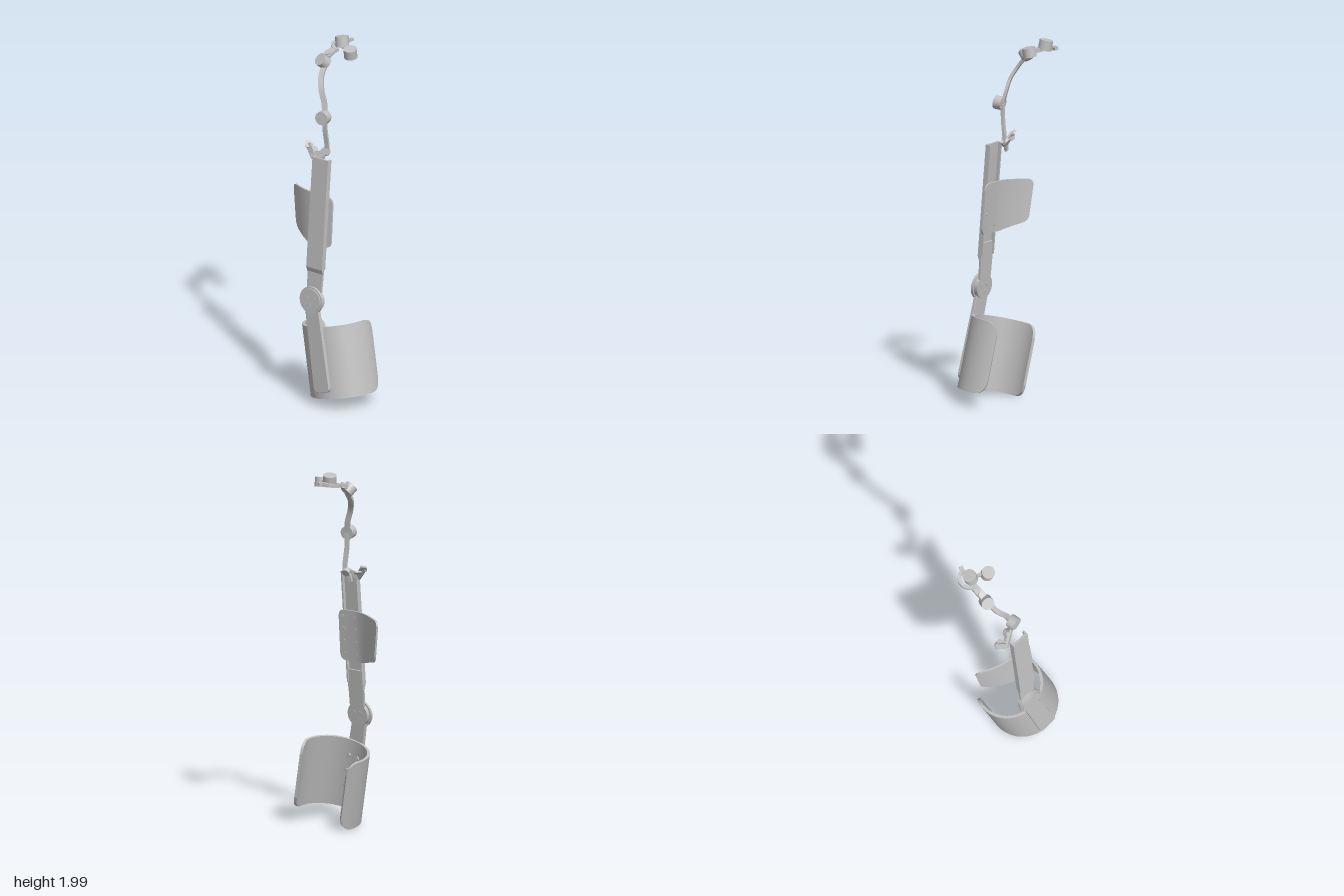
import * as THREE from 'three';

const V = (x, y, z) => new THREE.Vector3(x, y, z);
const grey = new THREE.MeshStandardMaterial({ color: 0xc0c0c0 });
grey.name = 'satinGrey';

function add(parent, name, geometry) {
  const mesh = new THREE.Mesh(geometry, grey);
  mesh.name = name;
  parent.add(mesh);
  return mesh;
}

// cylinder centred on a point, pointing along an axis
function disc(parent, name, centre, axis, radius, height, sides = 32) {
  const m = add(parent, name, new THREE.CylinderGeometry(radius, radius, height, sides));
  m.position.copy(centre);
  m.quaternion.setFromUnitVectors(V(0, 1, 0), axis.clone().normalize());
  return m;
}

// moves every vertex by a rule
function warp(geometry, rule) {
  const p = geometry.attributes.position;
  for (let i = 0; i < p.count; i++) {
    const q = rule(p.getX(i), p.getY(i), p.getZ(i));
    p.setXYZ(i, q.x, q.y, q.z);
  }
  geometry.computeVertexNormals();
  return geometry;
}

// height factor that rounds the corners of a panel
function cornerFactor(x, width, half, r) {
  const d = Math.min(r, Math.max(0, width / 2 - Math.abs(x)));
  return (half - r + Math.sqrt(r * r - (r - d) ** 2)) / half;
}

// rectangular bar following a curve; side gives the direction of its width
function strap(parent, name, points, width, thick, side) {
  const curve = new THREE.CatmullRomCurve3(points);
  const n = points.length > 2 ? 24 : 1;
  const g = warp(new THREE.BoxGeometry(width, 1, thick, 1, n, 1), (x, y, z) => {
    const t = THREE.MathUtils.clamp(y + 0.5, 0, 1);
    const tan = curve.getTangentAt(t);
    const s = side.clone().addScaledVector(tan, -side.dot(tan)).normalize();
    const nrm = new THREE.Vector3().crossVectors(s, tan);
    return curve.getPointAt(t).addScaledVector(s, x).addScaledVector(nrm, z);
  });
  return add(parent, name, g);
}

function buildLowerCuff() {
  const g = new THREE.Group();
  g.name = 'lowerCuff';
  const up = V(-0.195, 0.973, -0.115).normalize();
  const front = V(-0.2, 0, 0.98);
  front.addScaledVector(up, -front.dot(up)).normalize();
  g.setRotationFromMatrix(new THREE.Matrix4().makeBasis(new THREE.Vector3().crossVectors(up, front), up, front));
  g.position.set(0.005, 0.437, 0.022);

  // open curved shell with rounded corners
  const R = 0.181, half = 0.198, width = 2 * R * THREE.MathUtils.degToRad(117);
  add(g, 'cuffShell', warp(new THREE.BoxGeometry(width, 2 * half, 0.015, 96, 8, 1), (x, y, z) => {
    const a = x / R, h = y * cornerFactor(x, width, half, 0.07);
    return V(Math.sin(a) * (R + z), h - half, Math.cos(a) * (R + z));
  }));

  // bar from the knee joint down over the cuff
  const s = new THREE.Shape();
  s.moveTo(-0.042, 0.165);
  s.lineTo(-0.052, -0.325);
  s.quadraticCurveTo(-0.052, -0.355, -0.022, -0.355);
  s.lineTo(0.022, -0.355);
  s.quadraticCurveTo(0.052, -0.355, 0.052, -0.325);
  s.lineTo(0.042, 0.165);
  const bar = new THREE.ExtrudeGeometry(s, { depth: 0.014, bevelEnabled: true, bevelSize: 0.003, bevelThickness: 0.003, bevelSegments: 2 });
  add(g, 'lowerBar', bar).position.set(0.01, 0, 0.186);

  // rivets on the inside
  for (const y of [-0.09, -0.18, -0.27])
    for (const x of [-0.025, 0.035]) {
      disc(g, 'cuffRivet', V(x, y, R - 0.012), V(0, 0, 1), 0.012, 0.012, 16);
      disc(g, 'cuffRivetCentre', V(x, y, R - 0.019), V(0, 0, 1), 0.006, 0.006, 6);
    }
  return g;
}

function buildUpperBar() {
  const g = new THREE.Group();
  g.name = 'upperBar';
  g.position.set(-0.05, 0.605, 0.2);
  g.rotation.set(-0.088, -0.17, 0, 'YXZ');

  // U-shaped channel, open to the back
  const s = new THREE.Shape([[-0.053, 0], [0.053, 0], [0.053, 0.03], [0.044, 0.03], [0.044, 0.012],
    [-0.044, 0.012], [-0.044, 0.03], [-0.053, 0.03]].map(([x, y]) => new THREE.Vector2(x, y)));
  const channel = new THREE.ExtrudeGeometry(s, { depth: 0.622, bevelEnabled: false });
  channel.rotateX(-Math.PI / 2);
  // slope the front of the lower end into the neck
  add(g, 'channel', channel).position.set(0, 0.178, 0);
  const ramp = new THREE.Shape([[0, 0.178], [-0.012, 0.15], [-0.022, 0.15], [-0.022, 0.178]].map(([x, y]) => new THREE.Vector2(x, y)));
  const rampGeo = new THREE.ExtrudeGeometry(ramp, { depth: 0.106, bevelEnabled: false });
  rampGeo.rotateY(-Math.PI / 2);
  add(g, 'channelRamp', rampGeo).position.set(0.053, 0, 0);

  // neck
  const neck = new THREE.Shape();
  neck.moveTo(-0.046, 0);
  neck.lineTo(0.046, 0);
  neck.lineTo(0.051, 0.16);
  neck.lineTo(0.043, 0.2);
  neck.lineTo(0.043, 0.25);
  neck.lineTo(-0.043, 0.25);
  neck.lineTo(-0.043, 0.2);
  neck.lineTo(-0.051, 0.16);
  add(g, 'neck', new THREE.ExtrudeGeometry(neck, { depth: 0.012, bevelEnabled: false })).position.z = -0.023;

  // knee joint with screws
  const Z = V(0, 0, 1);
  disc(g, 'jointBack', V(0, 0, -0.012), Z, 0.066, 0.022, 48);
  disc(g, 'jointDisc', V(0, 0, 0.006), Z, 0.075, 0.014, 48);
  disc(g, 'jointCap', V(0, 0, 0.014), Z, 0.066, 0.01, 48);
  for (let i = 0; i < 3; i++) {
    const a = i * Math.PI * 2 / 3 + 0.5;
    for (const z of [0.019, -0.023])
      disc(g, 'jointScrew', V(Math.cos(a) * 0.025, Math.sin(a) * 0.025, z), Z, 0.01, 0.005, 16);
  }
  return g;
}

function buildUpperPad() {
  const g = new THREE.Group();
  g.name = 'upperPad';
  g.position.y = 1.045;
  // plan of the pad, from the free edge to behind the channel
  const plan = new THREE.CatmullRomCurve3([V(-0.255, 0, 0.005), V(-0.2, 0, 0.055), V(-0.14, 0, 0.096),
    V(-0.09, 0, 0.119), V(-0.03, 0, 0.132), V(0.04, 0, 0.141)]);
  const w = plan.getLength(), half = 0.142;
  add(g, 'padShell', warp(new THREE.BoxGeometry(w, 2 * half, 0.01, 64, 8, 1), (x, y, z) => {
    const t = THREE.MathUtils.clamp(x / w + 0.5, 0, 1);
    const p = plan.getPointAt(t), d = plan.getTangentAt(t);
    const free = Math.max(0, 1 - t / 0.55);
    const h = y * cornerFactor(x, w, half, 0.035) * (1 - 0.2 * free);
    return V(p.x - d.z * z - 0.12 * h * free, h + 0.012 * free, p.z + d.x * z - 0.09 * h);
  }));
  for (const y of [-0.1, -0.03, 0.04, 0.11])
    for (const x of [-0.07, 0.01])
      disc(g, 'padRivet', V(x, y, 0.129 + (x + 0.04) * 0.14 - 0.09 * y), V(-0.14, 0.09, 1), 0.006, 0.014, 12);
  return g;
}

function buildLinkage() {
  const g = new THREE.Group();
  g.name = 'linkage';
  const X = V(1, 0, 0), Y = V(0, 1, 0);

  // forked bracket above the channel
  strap(g, 'bracketArm', [V(-0.15, 1.442, 0.058), V(-0.098, 1.382, 0.088)], 0.034, 0.012, V(0.75, 0.65, 0));
  disc(g, 'bracketKnob', V(-0.148, 1.44, 0.058), V(0.3, 0.6, 0.7), 0.02, 0.014, 20);
  disc(g, 'bracketPlate', V(-0.118, 1.415, 0.055), V(0.3, 0.9, 0.3), 0.022, 0.008, 20);
  strap(g, 'bracketFoot', [V(-0.11, 1.385, 0.09), V(-0.025, 1.425, 0.06)], 0.034, 0.014, V(-0.4, 0.9, 0));
  disc(g, 'bracketPivot', V(-0.048, 1.415, 0.052), V(0, 0.5, 0.87), 0.022, 0.03, 24);
  strap(g, 'bracketPost', [V(-0.07, 1.36, 0.058), V(-0.05, 1.43, 0.052)], 0.024, 0.014, X);

  // lower link and its motor
  strap(g, 'lowerLink', [V(-0.04, 1.4, 0.05), V(-0.038, 1.46, 0.055), V(-0.043, 1.54, 0.065), V(-0.045, 1.62, 0.067)], 0.024, 0.014, X);
  disc(g, 'lowerMotor', V(-0.043, 1.625, 0.087), V(0, 0.1, 1), 0.037, 0.046);

  // curved upper link and its motor
  strap(g, 'upperLink', [V(-0.045, 1.63, 0.065), V(-0.055, 1.69, 0.052), V(-0.08, 1.76, 0.038),
    V(-0.1, 1.82, 0.005), V(-0.1, 1.88, -0.042)], 0.028, 0.016, V(0.95, 0.15, -0.2));
  disc(g, 'upperMotor', V(-0.113, 1.893, -0.04), V(-0.35, 0.62, 0.65), 0.036, 0.048);

  // wrist pivot and hooked arm around the top motor
  disc(g, 'wristPivot', V(-0.105, 1.92, -0.084), V(-0.1, 0.85, 0.4), 0.018, 0.03, 24);
  strap(g, 'wristLink', [V(-0.105, 1.91, -0.065), V(-0.1, 1.925, -0.1), V(-0.09, 1.932, -0.145)], 0.04, 0.018, X);
  const hook = [V(-0.088, 1.932, -0.13), V(-0.115, 1.937, -0.155)];
  for (let i = 0; i <= 5; i++) {
    const a = Math.PI * (0.98 + i * 0.125);
    hook.push(V(-0.068 + Math.cos(a) * 0.055, 1.94 + i * 0.003, -0.185 + Math.sin(a) * 0.052));
  }
  strap(g, 'hookArm', hook, 0.018, 0.02, Y);
  strap(g, 'hookTip', [V(-0.064, 1.952, -0.228), V(-0.046, 1.956, -0.258)], 0.012, 0.022, Y);
  disc(g, 'topMotor', V(-0.07, 1.966, -0.178), V(-0.12, 0.97, -0.15), 0.037, 0.056);

  // side link and end motor
  strap(g, 'sideLink', [V(-0.06, 1.945, -0.165), V(-0.025, 1.942, -0.152), V(0.005, 1.935, -0.125)], 0.022, 0.016, Y);
  disc(g, 'endMotor', V(0.011, 1.935, -0.121), V(0.03, 0.97, 0.2), 0.036, 0.052);
  return g;
}

export function createModel() {
  const model = new THREE.Group();
  model.name = 'armBrace';
  model.add(buildLowerCuff(), buildUpperBar(), buildUpperPad(), buildLinkage());
  return model;
}
